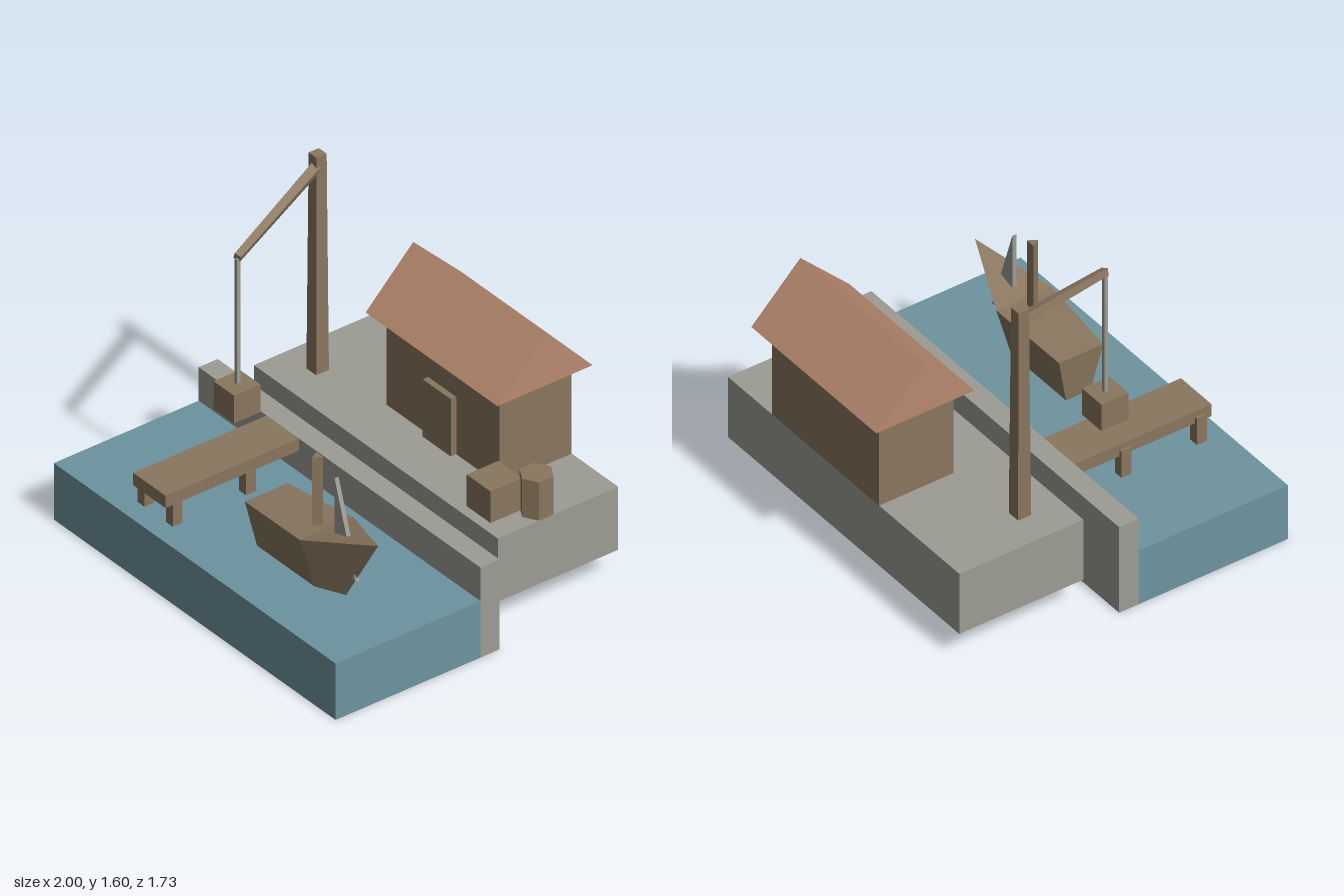
import * as THREE from 'three';

const mat = (name, color) => {
  const m = new THREE.MeshStandardMaterial({ color });
  m.name = name;
  return m;
};

export function createModel() {
  const wood = mat('wood', 0x89765e);
  const stone = mat('stone', 0x9c9b93);
  const water = mat('water', 0x6d93a0);
  const tile = mat('roofTile', 0xb98a70);
  const model = new THREE.Group();
  model.name = 'harbour';

  const add = (name, geometry, material) => {
    const mesh = new THREE.Mesh(geometry, material);
    mesh.name = name;
    model.add(mesh);
    return mesh;
  };
  // Box given by its limits on each axis
  const box = (name, material, x0, x1, y0, y1, z0, z1) =>
    add(name, new THREE.BoxGeometry(x1 - x0, y1 - y0, z1 - z0), material)
      .position.set((x0 + x1) / 2, (y0 + y1) / 2, (z0 + z1) / 2);
  // Tapered square beam between two points, with half widths at each end
  const beam = (name, material, from, to, half0, half1) => {
    const a = new THREE.Vector3(...from), b = new THREE.Vector3(...to);
    const dir = b.clone().sub(a);
    const g = new THREE.CylinderGeometry(half1 * Math.SQRT2, half0 * Math.SQRT2, dir.length(), 4)
      .rotateY(Math.PI / 4).toNonIndexed();
    g.computeVertexNormals();
    const mesh = add(name, g, material);
    mesh.position.copy(a).add(b).multiplyScalar(0.5);
    mesh.quaternion.setFromUnitVectors(new THREE.Vector3(0, 1, 0), dir.normalize());
  };
  // Upright prism with a regular base
  const prism = (name, material, sides, r, x, y0, y1, z) => {
    const g = new THREE.CylinderGeometry(r, r, y1 - y0, sides).toNonIndexed();
    g.computeVertexNormals();
    add(name, g, material).position.set(x, (y0 + y1) / 2, z);
  };
  const extrude = (points, depth) => new THREE.ExtrudeGeometry(
    new THREE.Shape(points.map(p => new THREE.Vector2(...p))), { depth, bevelEnabled: false });

  // Water, quay wall and ground
  box('water', water, -1, 1, 0, 0.295, 0.065, 0.865);
  box('quayWall', stone, -1, 1, 0, 0.47, -0.04, 0.065);
  box('ground', stone, -0.865, 0.865, 0.14, 0.47, -0.8, -0.135);

  // House
  box('houseWalls', wood, -0.265, 0.535, 0.47, 0.94, -0.8, -0.4);
  box('door', wood, 0.03, 0.23, 0.47, 0.77, -0.4, -0.37);
  const roof = add('roof', extrude([[-0.263, 0], [0.263, 0], [0, 0.262]], 0.935), tile);
  roof.rotation.y = Math.PI / 2;
  roof.position.set(-0.335, 0.94, -0.602);

  // Crane with hanging load
  beam('craneMast', wood, [-0.67, 0.47, -0.335], [-0.67, 1.6, -0.335], 0.035, 0.028);
  beam('craneJib', wood, [-0.67, 1.535, -0.335], [-0.467, 1.405, 0.267], 0.022, 0.017);
  beam('craneRope', stone, [-0.468, 0.74, 0.265], [-0.468, 1.4, 0.265], 0.009, 0.009);
  box('hangingCrate', wood, -0.54, -0.395, 0.605, 0.75, 0.195, 0.34);

  // Landing stage
  box('dockDeck', wood, -0.52, -0.29, 0.405, 0.469, 0.05, 0.8);
  for (const x of [-0.51, -0.31])
    for (const z of [0.333, 0.737])
      box('dockPost', wood, x - 0.025, x + 0.025, 0.2, x < -0.4 ? 0.44 : 0.41, z - 0.027, z + 0.027);

  // Goods beside the house
  box('crate', wood, 0.58, 0.75, 0.47, 0.635, -0.36, -0.185);
  prism('barrel', wood, 6, 0.08, 0.796, 0.47, 0.67, -0.403);

  // Boat hull: cross-sections as [top x, top y, top half width, bottom x, bottom half width]
  const sections = [
    [0.035, 0.535, 0.118, 0.056, 0.065],
    [0.465, 0.57, 0.147, 0.465, 0.065],
    [0.83, 0.67, 0, 0.598, 0],
  ].map(([tx, ty, tw, bx, bw]) => [[tx, ty, tw], [tx, ty, -tw], [bx, 0.288, -bw], [bx, 0.288, bw]]);
  const hull = [];
  const quad = (a, b, c, d) => hull.push(...a, ...b, ...c, ...a, ...c, ...d);
  quad(...sections[0]);
  for (let s = 0; s < 2; s++)
    for (let i = 0; i < 4; i++) {
      const j = (i + 1) % 4;
      quad(sections[s][i], sections[s + 1][i], sections[s + 1][j], sections[s][j]);
    }
  const hullGeometry = new THREE.BufferGeometry();
  hullGeometry.setAttribute('position', new THREE.Float32BufferAttribute(hull, 3));
  hullGeometry.computeVertexNormals();
  add('boatHull', hullGeometry, wood).position.z = 0.498;

  // Boat mast and sail
  prism('boatMast', wood, 3, 0.028, 0.4, 0.45, 0.92, 0.5);
  add('sail', extrude([[0.535, 0.875], [0.535, 0.41], [0.685, 0.41]], 0.022), stone).position.z = 0.487;

  return model;
}
